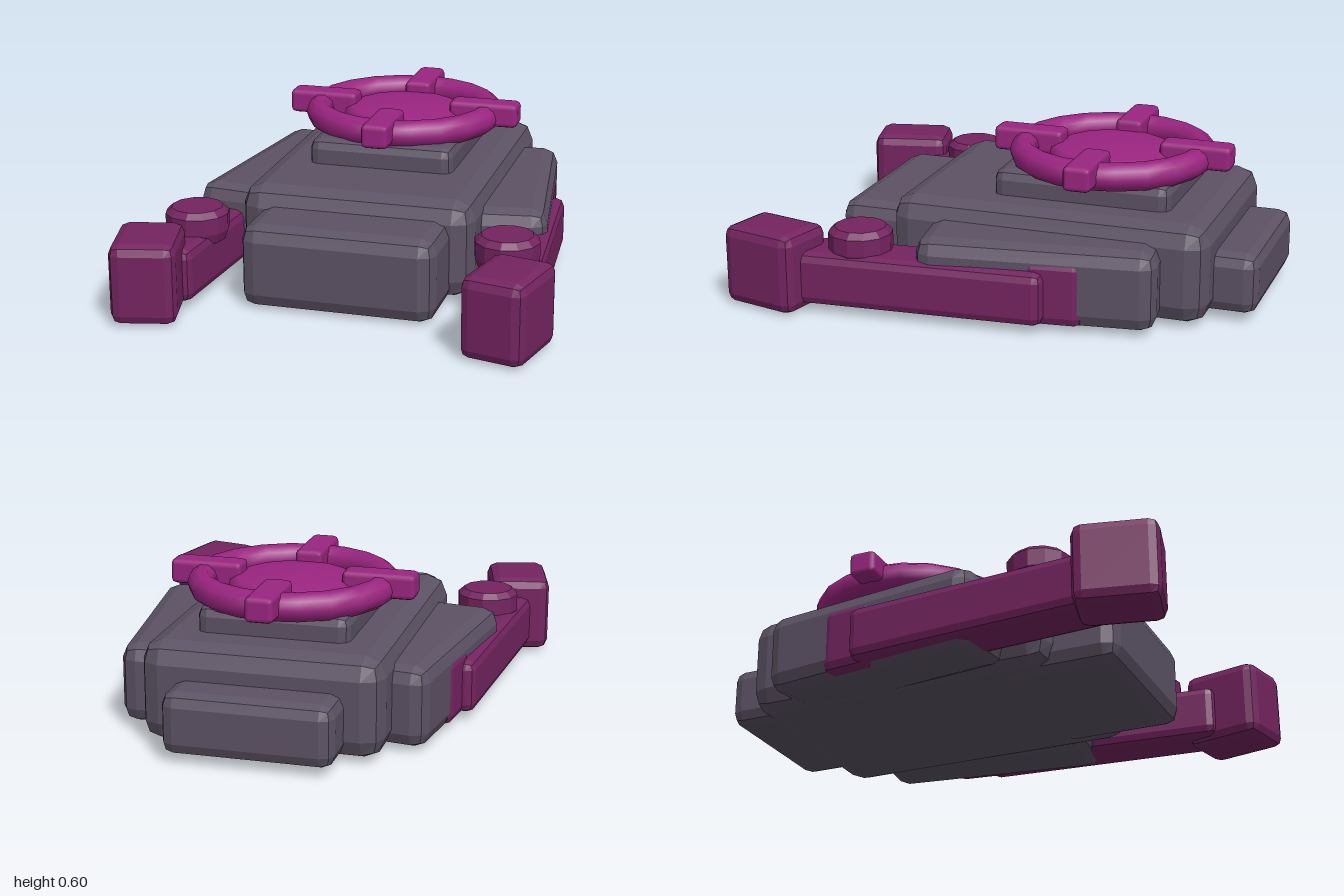
import * as THREE from 'three';
import { RoundedBoxGeometry } from 'three/addons/geometries/RoundedBoxGeometry.js';

const mat = (name, color, flatShading) => {
  const m = new THREE.MeshStandardMaterial({ color, flatShading });
  m.name = name;
  return m;
};

export function createModel() {
  const model = new THREE.Group();
  model.name = 'valveMachine';
  const grey = mat('slateGrey', 0x5c5264, true);
  const plum = mat('darkPlum', 0x742460, true);
  const magenta = mat('magenta', 0x9a2580, false);

  const add = (parent, name, geo, material, x, y, z, turn = 0) => {
    const m = new THREE.Mesh(geo, material);
    m.name = name;
    m.position.set(x, y, z);
    m.rotation.y = turn;
    parent.add(m);
    return m;
  };

  // Bevelled block given by its centre in plan, its bottom and top, and its size
  const block = (parent, name, material, [x, z], [y0, y1], [w, d], bevel, turn = 0) =>
    add(parent, name, new RoundedBoxGeometry(w, y1 - y0, d, 1, bevel), material, x, (y0 + y1) / 2, z, turn);

  // Body
  block(model, 'mainBody', grey, [0, -0.195], [0.01, 0.4], [0.93, 1.27], 0.08);
  block(model, 'frontBlock', grey, [0, 0.44], [0, 0.33], [0.76, 0.5], 0.06);
  block(model, 'rearBlock', grey, [0, -0.8], [0.03, 0.27], [0.65, 0.39], 0.05);
  block(model, 'wheelPlatform', grey, [0, -0.285], [0.3, 0.5], [0.59, 0.71], 0.04);

  // Side wings and arms, mirrored
  for (const s of [1, -1]) {
    const side = new THREE.Group();
    side.name = s > 0 ? 'leftSide' : 'rightSide';
    model.add(side);
    block(side, 'sideWing', grey, [s * 0.5, -0.2], [0.015, 0.33], [0.31, 0.92], 0.06, s * 0.135);
    block(side, 'shoulder', plum, [s * 0.54, -0.28], [0.02, 0.29], [0.22, 0.24], 0.04, s * 0.12);
    block(side, 'arm', plum, [s * 0.622, 0.255], [0.03, 0.24], [0.23, 1.03], 0.035, s * 0.075);
    block(side, 'hand', plum, [s * 0.69, 0.82], [0.005, 0.32], [0.25, 0.32], 0.04, -s * 0.23);
    // Bevelled round cap on the arm
    const cap = [[0, 0.2], [0.11, 0.2], [0.125, 0.24], [0.125, 0.305], [0.1, 0.328], [0, 0.328]];
    add(side, 'armCap', new THREE.LatheGeometry(cap.map(p => new THREE.Vector2(...p)), 12), plum, s * 0.615, 0, 0.49);
  }

  // Hand wheel: ring, domed hub and four spokes
  const wheel = new THREE.Group();
  wheel.name = 'handWheel';
  wheel.position.set(0, 0.535, -0.33);
  model.add(wheel);
  const ring = new THREE.TorusGeometry(0.355, 0.055, 10, 20).rotateX(Math.PI / 2);
  add(wheel, 'wheelRing', ring, magenta, 0, 0, 0);
  const hub = [[0.2, -0.055], [0.25, -0.035], [0.25, 0.005], [0.22, 0.022], [0.12, 0.032], [0, 0.035]];
  add(wheel, 'wheelHub', new THREE.LatheGeometry(hub.map(p => new THREE.Vector2(...p)), 16), magenta, 0, 0, 0);
  for (let i = 0; i < 4; i++) {
    const a = (i * Math.PI) / 2;
    add(wheel, 'spoke', new RoundedBoxGeometry(0.11, 0.097, 0.285, 1, 0.02), magenta,
      Math.sin(a) * 0.342, 0.017, Math.cos(a) * 0.342, a);
  }
  return model;
}
